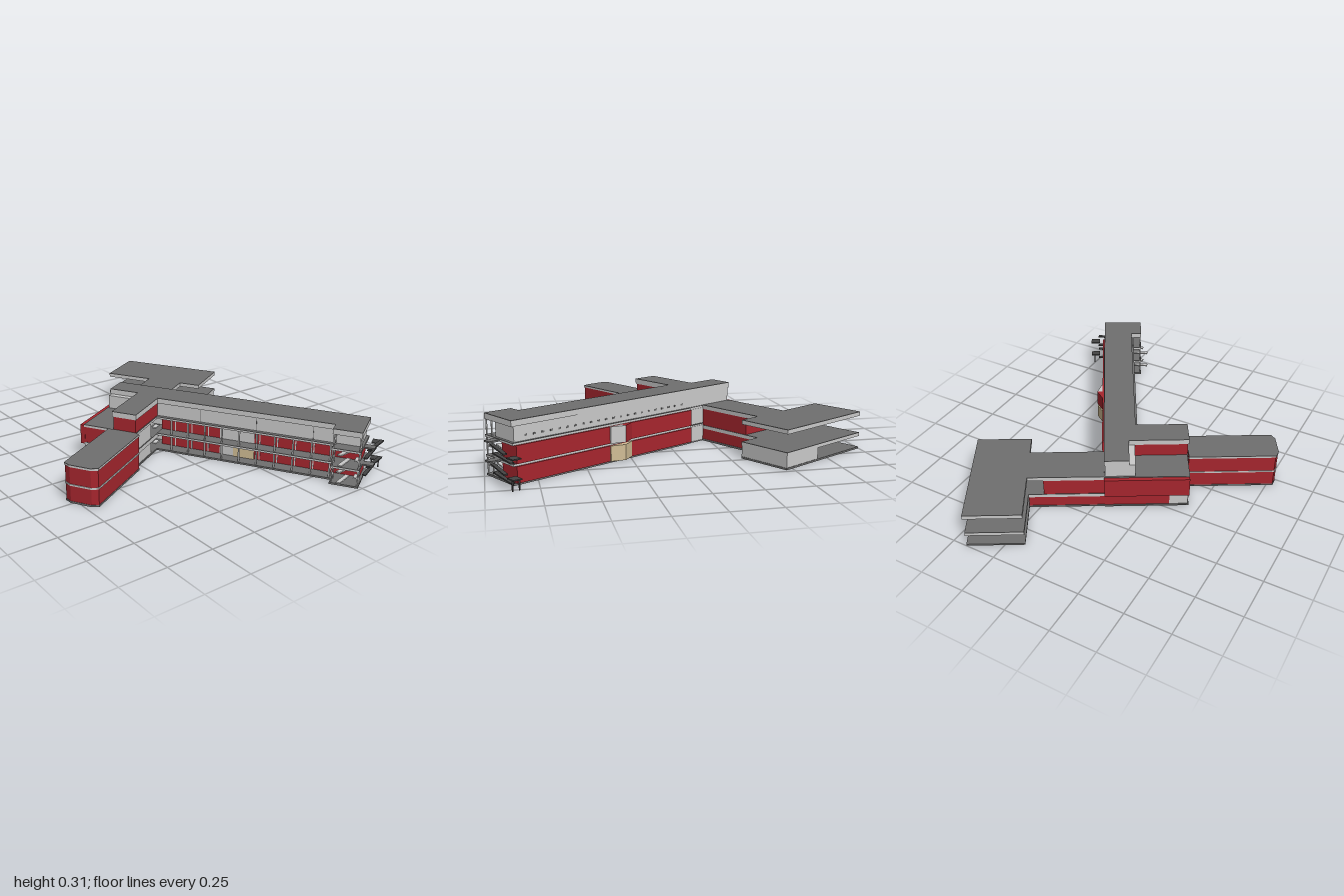
import * as THREE from 'three';

const mat = (color) => new THREE.MeshStandardMaterial({ color, flatShading: true });
const LIGHT = mat(0xcccccc), DARK = mat(0x707070), RED = mat(0xa8262e);
const TAN = mat(0xd2be96), STEEL = mat(0x444444);

export function createModel() {
  const model = new THREE.Group();
  model.name = 'building';
  // The plan is laid out square (u along the long wing, v across it), then turned 30 degrees.
  const plan = new THREE.Group();
  plan.name = 'plan';
  plan.rotation.y = Math.PI / 6;
  model.add(plan);

  const add = (name, geo, m) => {
    const mesh = new THREE.Mesh(geo, m);
    mesh.name = name;
    plan.add(mesh);
    return mesh;
  };
  // Box given by its limits
  const box = (name, m, u0, u1, y0, y1, v0, v1) =>
    add(name, new THREE.BoxGeometry(u1 - u0, y1 - y0, v1 - v0), m)
      .position.set((u0 + u1) / 2, (y0 + y1) / 2, (v0 + v1) / 2);
  // Upright prism over a plan outline
  const prism = (name, m, pts, y0, y1) => {
    const shape = new THREE.Shape(pts.map(([u, v]) => new THREE.Vector2(u, -v)));
    const geo = new THREE.ExtrudeGeometry(shape, { depth: y1 - y0, bevelEnabled: false });
    geo.rotateX(-Math.PI / 2);
    add(name, geo, m).position.y = y0;
  };
  const rect = (u0, u1, v0, v1) => [[u0, v0], [u1, v0], [u1, v1], [u0, v1]];
  // Slab with light edge and dark top
  const slab = (name, pts, y0, y1) => {
    prism(name + 'Edge', LIGHT, pts, y0, y1 - 0.003);
    prism(name + 'Top', DARK, pts, y1 - 0.003, y1);
  };
  // Straight bar between two points, w wide and t thick
  const bar = (name, m, a, b, w, t) => {
    const p = new THREE.Vector3(...a), q = new THREE.Vector3(...b);
    const mesh = add(name, new THREE.BoxGeometry(w, t, p.distanceTo(q)), m);
    mesh.position.copy(p).add(q).multiplyScalar(0.5);
    mesh.lookAt(q.clone());
    return mesh;
  };

  // Outlines
  const wingDeck = [[-0.055, -0.163], [1.095, -0.163], [1.095, 0.08], [0.945, 0.08], [0.945, 0.03], [-0.055, 0.03]];
  const topRoof = [[-0.371, -0.157], [1.095, -0.157], [1.095, 0.08], [0.945, 0.08], [0.945, 0.016],
    [-0.055, 0.016], [-0.055, 0.302], [-0.197, 0.302], [-0.197, -0.024], [-0.371, -0.024]];
  const frontWing = (o) => [[-0.217 - o, 0.302], [-0.055, 0.302], [-0.033 + o, 0.315], [-0.033 + o, 0.775 + o],
    [-0.065, 0.793 + o], [-0.182, 0.793 + o], [-0.217 - o, 0.775 + o]];
  const rearBlock = rect(-0.656, -0.033, -0.863, -0.563);
  const stem = rect(-0.371, -0.157, -0.563, -0.157);
  const core = rect(-0.375, -0.055, -0.157, 0.295);

  // Ground plates
  for (const [i, pts] of [wingDeck, frontWing(0.002), rearBlock, stem, core].entries())
    prism('groundPlate' + i, DARK, pts, 0, 0.01);

  // Long wing, lower two storeys with open walkway
  slab('wingFirstDeck', wingDeck, 0.092, 0.104);
  slab('wingSecondDeck', wingDeck, 0.192, 0.204);
  for (const [i, y0, y1] of [[0, 0.01, 0.092], [1, 0.104, 0.192]]) {
    box('wingWalls' + i, RED, -0.055, 1.08, y0, y1, -0.171, -0.045);
    box('wingLightBay' + i, LIGHT, 0.3, 0.5, y0, y1, -0.1, -0.041);
    box('rearLightWall' + i, LIGHT, -0.157, -0.055, y0, y1, -0.16, -0.1);
    // Rear entrance bay
    prism('rearBay' + i, i ? RED : TAN, [[0.37, -0.165], [0.45, -0.203], [0.45, -0.165]], y0, y1);
    prism('rearBayFace' + i, i ? LIGHT : TAN, [[0.45, -0.165], [0.45, -0.203], [0.525, -0.175], [0.53, -0.165]], y0, y1);
    for (let k = 0; k < 10; k++) {
      const u = 0.03 + k * 0.1;
      box('walkwayPost', LIGHT, u - 0.004, u + 0.004, y0, y1, 0.012, 0.02);
      box('wallPier', LIGHT, u - 0.003, u + 0.003, y0, y1, -0.05, -0.042);
    }
  }
  box('entranceDoors', TAN, 0.38, 0.5, 0.01, 0.092, -0.1, -0.038);

  // Long wing, top storey
  box('topStoreyWalls', LIGHT, -0.366, 1.08, 0.204, 0.28, -0.152, 0.008);
  box('topStoreyCorner', LIGHT, -0.366, -0.19, 0.204, 0.28, -0.15, -0.03);
  slab('topRoof', topRoof, 0.28, 0.31);
  for (let k = 0; k < 22; k++) {
    const u = 0.0 + k * 0.048;
    box('rearWindow', DARK, u, u + 0.014, 0.225, 0.234, -0.154, -0.15);
  }
  for (const u of [0.2, 0.52, 0.83]) box('wallJoint', DARK, u, u + 0.003, 0.204, 0.28, 0.006, 0.01);

  // Core with upper red storey
  box('coreUpperStub', RED, -0.192, -0.06, 0.204, 0.28, 0.008, 0.296);
  slab('coreRoof', rect(-0.375, -0.055, -0.157, 0.295), 0.19, 0.204);
  slab('coreFloor', rect(-0.375, -0.055, -0.157, 0.295), 0.075, 0.1);
  box('coreUpperRoom', RED, -0.372, -0.2, 0.1, 0.19, -0.157, 0.292);
  box('sideRedWall', RED, -0.398, -0.371, 0.09, 0.2, -0.157, 0.294);
  box('coreLowerRoom', RED, -0.37, -0.2, 0.01, 0.075, -0.157, 0.19);
  box('coreLowerEnd', LIGHT, -0.37, -0.2, 0.01, 0.075, 0.19, 0.287);
  box('coreDarkFront', DARK, -0.37, -0.2, 0.01, 0.075, 0.287, 0.292);
  box('coreLowerWall', LIGHT, -0.2, -0.06, 0.01, 0.075, 0.1, 0.3);
  box('coreUpperWall', LIGHT, -0.2, -0.06, 0.1, 0.19, 0.1, 0.3);

  // Front wing: red walls with light bands
  prism('frontWingWalls', RED, frontWing(0), 0.01, 0.198);
  prism('frontWingBand', LIGHT, frontWing(0.003), 0.095, 0.104);
  slab('frontWingRoof', frontWing(0.003), 0.196, 0.208);

  // Stem
  box('stemLowerWalls', RED, -0.368, -0.16, 0.01, 0.07, -0.563, -0.157);
  box('stemUpperWalls', RED, -0.368, -0.16, 0.09, 0.185, -0.48, -0.157);
  slab('stemFloor', stem, 0.07, 0.09);
  slab('stemRoof', stem, 0.183, 0.206);

  // Rear block: two open canopies over a small room
  slab('rearCanopyLower', rearBlock, 0.07, 0.09);
  slab('rearCanopyUpper', rearBlock, 0.183, 0.206);
  box('rearRoom', LIGHT, -0.29, -0.036, 0.01, 0.07, -0.86, -0.563);

  // Switchback stairs running along the long wing
  for (const [u0, u1, v] of [[0.955, 1.07, 0.05], [-0.19, -0.065, 0.04]])
    for (const y of [0.01, 0.105]) {
      bar('stairFlightLower', LIGHT, [u0, y, v + 0.013], [u1, y + 0.045, v + 0.013], 0.022, 0.007);
      bar('stairFlightUpper', LIGHT, [u1, y + 0.045, v - 0.013], [u0, y + 0.09, v - 0.013], 0.022, 0.007);
      box('stairLanding', LIGHT, u1 - 0.005, u1 + 0.02, y + 0.04, y + 0.047, v - 0.025, v + 0.025);
    }
  for (const v of [0.026, 0.074])
    for (const u of [0.95, 1.085])
      box('stairTabPost', LIGHT, u, u + 0.006, 0.01, 0.28, v - 0.003, v + 0.003);

  // Outside escape stair on the end wall
  for (const y of [0.008, 0.104]) {
    bar('escapeFlightLower', STEEL, [1.115, y, -0.02], [1.115, y + 0.047, -0.2], 0.02, 0.007);
    bar('escapeFlightUpper', STEEL, [1.139, y + 0.047, -0.2], [1.139, y + 0.094, -0.02], 0.02, 0.007);
    box('escapeHalfLanding', STEEL, 1.104, 1.15, y + 0.044, y + 0.05, -0.25, -0.195);
    box('escapeDeck', DARK, 1.09, 1.15, y + 0.088, y + 0.096, -0.05, -0.005);
  }
  for (const u of [1.106, 1.143])
    box('escapePost', STEEL, u, u + 0.006, 0, 0.056, -0.235, -0.229);

  return model;
}
